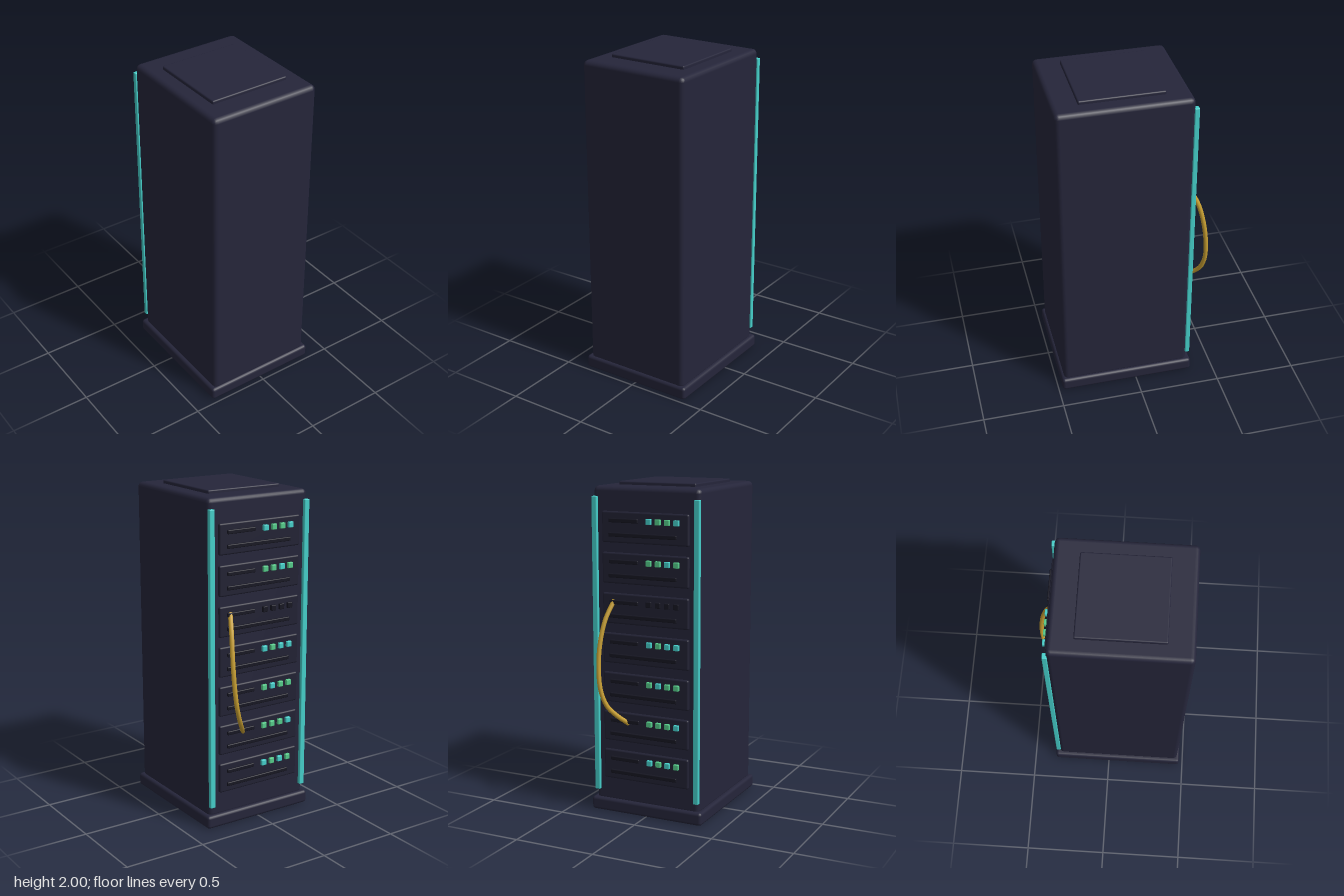
import * as THREE from 'three';
import { RoundedBoxGeometry } from 'three/addons/geometries/RoundedBoxGeometry.js';

const material = (name, color) => {
  const m = new THREE.MeshStandardMaterial({ color });
  m.name = name;
  return m;
};

export function createModel() {
  const casing = material('dark casing', 0x25253a);
  const panel = material('unit panel', 0x212133);
  const slot = material('slot black', 0x161622);
  const teal = material('teal light', 0x45cfca);
  const green = material('green light', 0x55cc8a);
  const brass = material('yellow cable', 0xc9a032);

  const model = new THREE.Group();
  model.name = 'serverCabinet';

  // Rounded box given by its centre and size
  const box = (parent, name, mat, [x, y, z], [w, h, d], r) => {
    const mesh = new THREE.Mesh(new RoundedBoxGeometry(w, h, d, 2, r), mat);
    mesh.position.set(x, y, z);
    mesh.name = name;
    parent.add(mesh);
    return mesh;
  };

  // Cabinet
  box(model, 'base', casing, [0, 0.04, 0.058], [0.736, 0.08, 0.834], 0.018);
  box(model, 'body', casing, [0, 1.02, 0.0625], [0.69, 1.92, 0.795], 0.028);
  box(model, 'topPlate', casing, [0, 1.98, 0.06], [0.5, 0.04, 0.5], 0.008);

  // Light strips along the rear corners
  for (const side of [-1, 1]) {
    box(model, side > 0 ? 'leftLightStrip' : 'rightLightStrip', teal,
      [side * 0.33, 1.025, -0.341], [0.034, 1.79, 0.028], 0.005);
  }

  // Seven stacked units; T teal, G green, x unlit, listed from +x to -x
  const lamps = { T: teal, G: green, x: slot };
  const rows = ['TGGT', 'GGTG', 'xxxx', 'TGTT', 'GTGG', 'GGGT', 'TGTG'];
  rows.forEach((row, i) => {
    const unit = new THREE.Group();
    unit.name = `unit${i + 1}`;
    unit.position.y = 1.745 - i * 0.24;
    model.add(unit);
    box(unit, 'unitPanel', panel, [0, 0, -0.335], [0.56, 0.182, 0.034], 0.01);
    box(unit, 'shortSlot', slot, [0.135, 0.04, -0.354], [0.19, 0.024, 0.018], 0.005);
    box(unit, 'longSlot', slot, [0.012, -0.043, -0.354], [0.44, 0.024, 0.02], 0.005);
    [...row].forEach((lamp, j) => {
      box(unit, 'statusLight', lamps[lamp], [-0.03 - j * 0.059, 0.04, -0.358], [0.033, 0.034, 0.022], 0.004);
    });
  });

  // Cable looping out between two units
  const path = new THREE.CatmullRomCurve3([
    [0.205, 1.315, -0.345], [0.235, 1.2, -0.405], [0.252, 1.05, -0.443], [0.251, 0.9, -0.461],
    [0.236, 0.78, -0.463], [0.205, 0.69, -0.445], [0.165, 0.63, -0.405], [0.115, 0.57, -0.345],
  ].map((p) => new THREE.Vector3(...p)));
  const cable = new THREE.Mesh(new THREE.TubeGeometry(path, 28, 0.014, 8), brass);
  cable.name = 'cable';
  model.add(cable);

  return model;
}
